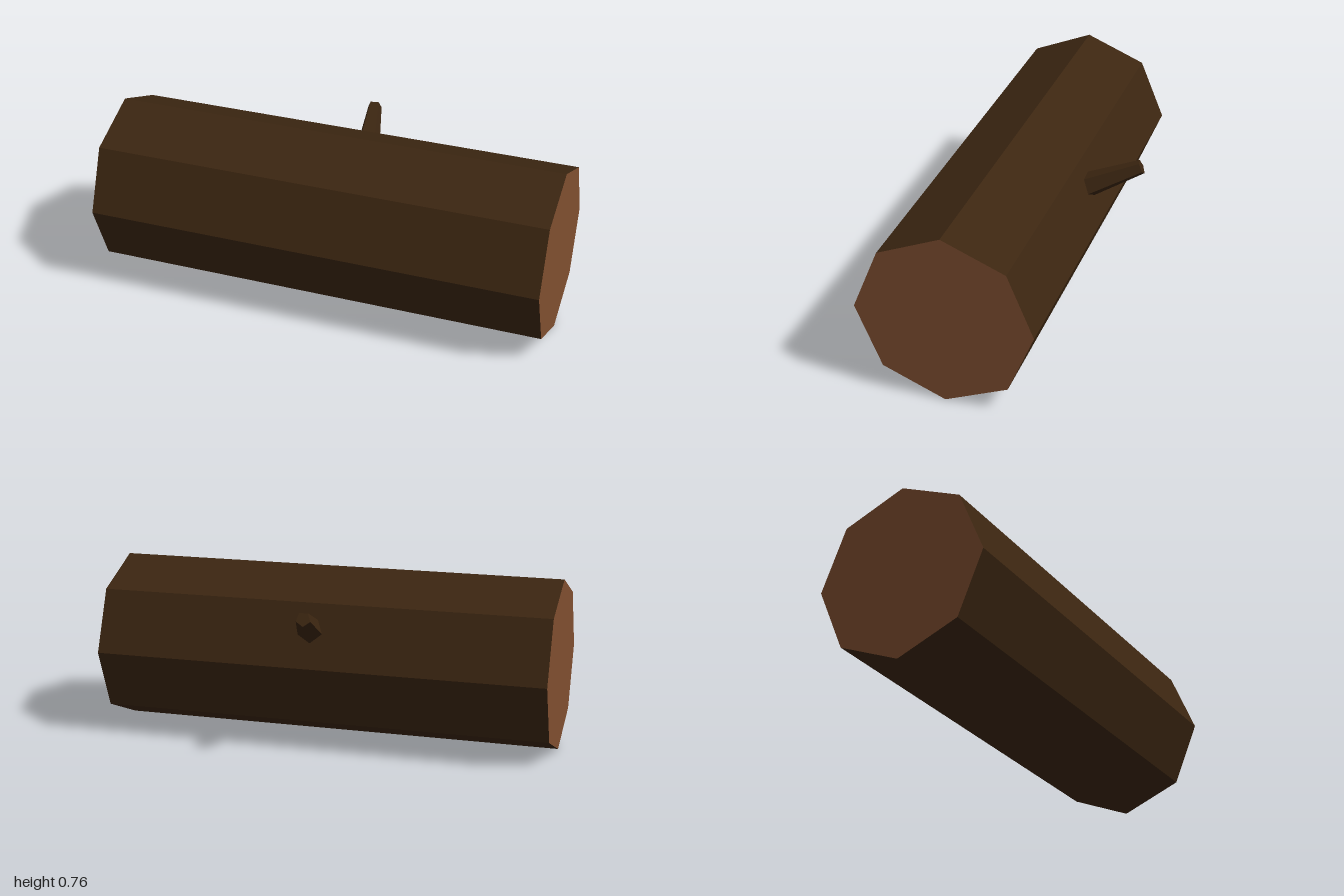
import * as THREE from 'three';

export function createModel() {
  const bark = new THREE.MeshStandardMaterial({ name: 'bark', color: 0x3c2611, flatShading: true });
  const cutWood = new THREE.MeshStandardMaterial({ name: 'cutWood', color: 0x804f30, flatShading: true });
  const model = new THREE.Group();
  model.name = 'log';

  // Eight-sided trunk lying along x, an edge uppermost, with cut ends
  const trunkGeometry = new THREE.CylinderGeometry(0.378, 0.378, 2, 8);
  trunkGeometry.rotateZ(-Math.PI / 2);
  const trunk = new THREE.Mesh(trunkGeometry, [bark, cutWood, cutWood]);
  trunk.name = 'trunk';
  trunk.position.set(0, 0.378, 0.085);
  model.add(trunk);

  // Tapered five-sided twig at the back, one ridge pointing down
  const root = new THREE.Vector3(0.047, 0.5, -0.155);
  const tip = new THREE.Vector3(-0.005, 0.636, -0.446);
  const axis = tip.clone().sub(root);
  const length = axis.length();
  axis.normalize();
  const side = new THREE.Vector3().crossVectors(axis, new THREE.Vector3(0, -1, 0)).normalize();
  const under = new THREE.Vector3().crossVectors(side, axis);
  const twig = new THREE.Mesh(new THREE.CylinderGeometry(0.032, 0.064, length, 5), bark);
  twig.name = 'twig';
  twig.quaternion.setFromRotationMatrix(new THREE.Matrix4().makeBasis(side, axis, under));
  twig.position.copy(root).add(tip).multiplyScalar(0.5);
  model.add(twig);

  return model;
}
